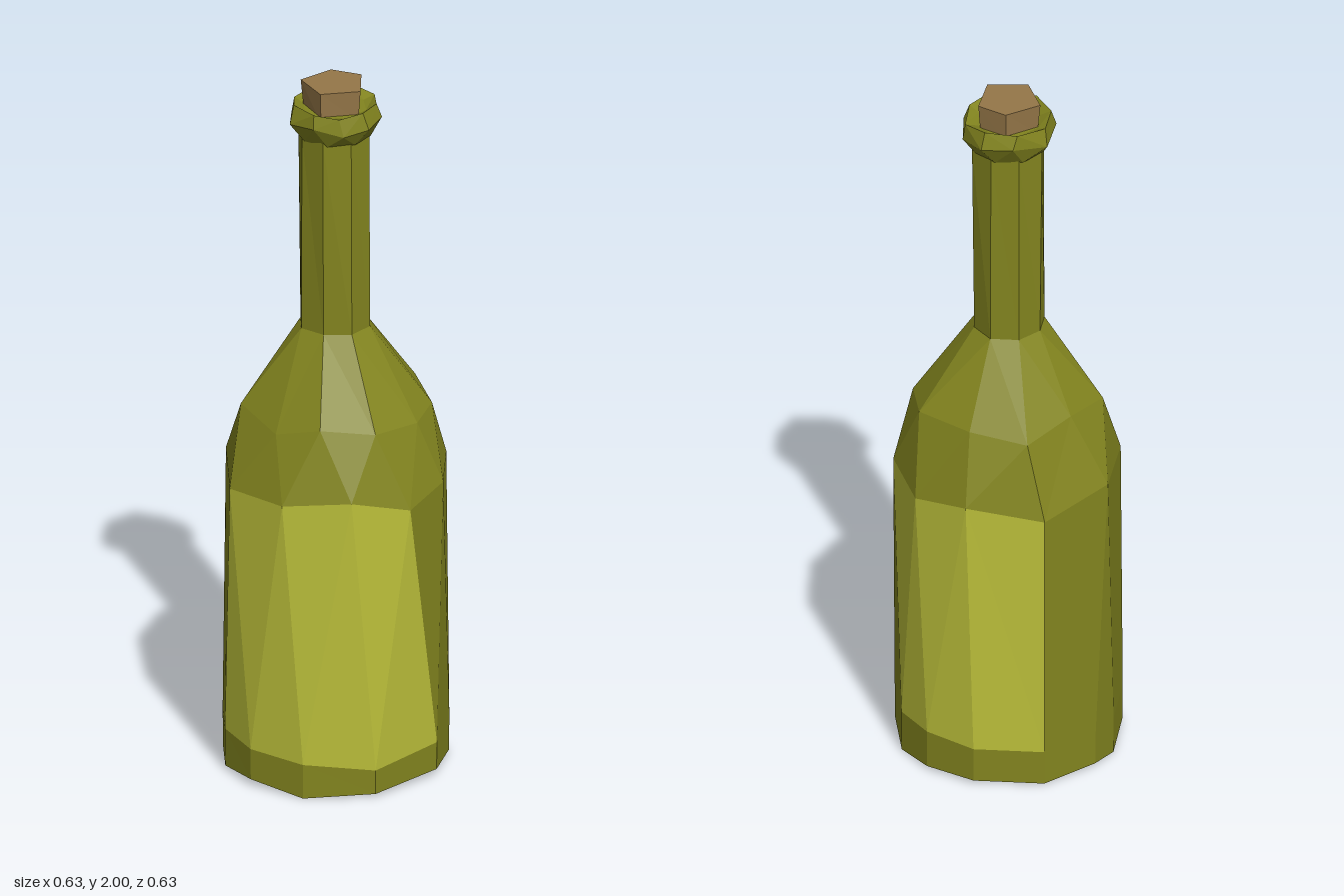
import * as THREE from 'three';

const rad = Math.PI / 180;

// A ring of corners; angle 0 faces +z and grows towards +x. r and y may vary per corner.
function ring(angles, r, y) {
  const pick = (v, i) => (Array.isArray(v) ? v[i % v.length] : v);
  return angles.map((a, i) => ({
    a, i,
    p: [pick(r, i) * Math.sin(a * rad), pick(y, i), pick(r, i) * Math.cos(a * rad)],
  }));
}

const even = (n, start) => Array.from({ length: n }, (_, i) => start + (i * 360) / n);

// Join two rings with any number of corners by always advancing to the nearer angle.
function stitch(low, high) {
  const tris = [];
  const at = (r, k) => r[k % r.length];
  const angle = (r, k) => at(r, k).a + 360 * Math.floor(k / r.length);
  let l = 0, h = 0;
  while (l < low.length || h < high.length) {
    const stepLow = h >= high.length || (l < low.length && angle(low, l + 1) <= angle(high, h + 1));
    const L = at(low, l), H = at(high, h);
    if (stepLow) {
      l++;
      tris.push({ pts: [L.p, at(low, l).p, H.p], low: [L.i, at(low, l).i], high: [H.i] });
    } else {
      h++;
      tris.push({ pts: [H.p, L.p, at(high, h).p], low: [L.i], high: [H.i, at(high, h).i] });
    }
  }
  return tris;
}

// Flat fan closing a ring.
function cap(r, up) {
  const tris = [];
  for (let i = 1; i < r.length - 1; i++) {
    const [a, b, c] = [r[0].p, r[i].p, r[i + 1].p];
    tris.push({ pts: up ? [a, b, c] : [a, c, b] });
  }
  return tris;
}

// Stitch a stack of rings from bottom to top.
function stack(rings) {
  return rings.slice(1).flatMap((r, i) => stitch(rings[i], r));
}

export function createModel() {
  const model = new THREE.Group();
  model.name = 'bottle';

  const makeMaterial = (name, color) => {
    const m = new THREE.MeshStandardMaterial({ color, flatShading: true });
    m.name = name;
    return m;
  };
  const glass = makeMaterial('olive glass', 0x83851f);
  const paper = makeMaterial('pale label', 0xbbbf3a);
  const corkBrown = makeMaterial('cork brown', 0x957748);

  const add = (name, tris, material) => {
    const g = new THREE.BufferGeometry();
    g.setAttribute('position', new THREE.Float32BufferAttribute(tris.flatMap((t) => t.pts.flat()), 3));
    g.computeVertexNormals();
    const mesh = new THREE.Mesh(g, material);
    mesh.name = name;
    model.add(mesh);
  };

  // Body rings, slightly uneven
  const baseAngles = [-56.5, -31, 0, 37, 79, 109, 138, 161.5, 189, 225, 256, 273];
  const base = ring(baseAngles, 0.313, [0.01, 0.02, 0, 0.01, 0.02, 0.01, 0, 0.01, 0.01, 0, 0.01, 0]);
  const labelFoot = ring(baseAngles, 0.314,
    [0.12, 0.11, 0.1, 0.08, 0.1, 0.11, 0.12, 0.12, 0.11, 0.1, 0.1, 0.11]);
  const shoulder = ring([-49, -11, 24.5, 57, 86, 121, 153, 185, 225, 266], 0.316,
    [0.85, 0.86, 0.88, 0.83, 0.86, 0.87, 0.84, 0.87, 0.83, 0.87]);
  const slope = ring([-67, -26, 7, 42, 78, 106, 141, 181, 218, 255],
    [0.258, 0.24, 0.252, 0.255, 0.256, 0.266, 0.268, 0.245, 0.265, 0.228],
    [1.06, 1.03, 1.07, 1.05, 1.04, 1.05, 1.07, 1.07, 1.05, 1.08]);
  const neckAngles = even(8, -47);
  const neckFoot = ring(neckAngles, [0.102, 0.098, 0.104], 1.29);
  const neckTop = ring(neckAngles, [0.1, 0.104, 0.1], 1.86);

  // Front and back labels are whole faces of the wall
  const within = (list, min, max) => list.every((i) => i >= min && i <= max);
  const isFront = (t) => within(t.high, 0, 3) && within(t.low, 0, 4);
  const isBack = (t) => within(t.high, 5, 8) && within(t.low, 6, 9);
  const wall = stitch(labelFoot, shoulder);
  add('frontLabel', wall.filter(isFront), paper);
  add('backLabel', wall.filter(isBack), paper);
  add('bodyWall', wall.filter((t) => !isFront(t) && !isBack(t)), glass);
  add('base', [...cap(base, false), ...stitch(base, labelFoot)], glass);
  add('shoulder', stack([shoulder, slope, neckFoot]), glass);
  add('neck', stitch(neckFoot, neckTop), glass);

  // Faceted lip around the mouth
  const lipUnder = ring(even(8, -40), 0.1, 1.85);
  const lipMiddle = ring([-49, -10, 27, 60, 95, 132, 173, 212, 261], [0.135, 0.132, 0.13],
    [1.9, 1.91, 1.89]);
  const lipTop = ring([-55, -11, 22, 55, 92, 135, 174, 218, 265], [0.118, 0.125, 0.12, 0.123],
    [1.95, 1.95, 1.94]);
  const mouth = ring(even(8, -45), 0.09, 1.93);
  add('lip', [...cap(lipUnder, false), ...stack([lipUnder, lipMiddle, lipTop, mouth]), ...cap(mouth, true)], glass);

  // Five-sided cork
  const corkAngles = [-87, -9.5, 65, 144, 202];
  const corkFoot = ring(corkAngles, 0.086, 1.91);
  const corkTop = ring(corkAngles, [0.095, 0.091, 0.094, 0.093, 0.092], 2);
  add('cork', [...stitch(corkFoot, corkTop), ...cap(corkTop, true)], corkBrown);

  return model;
}
